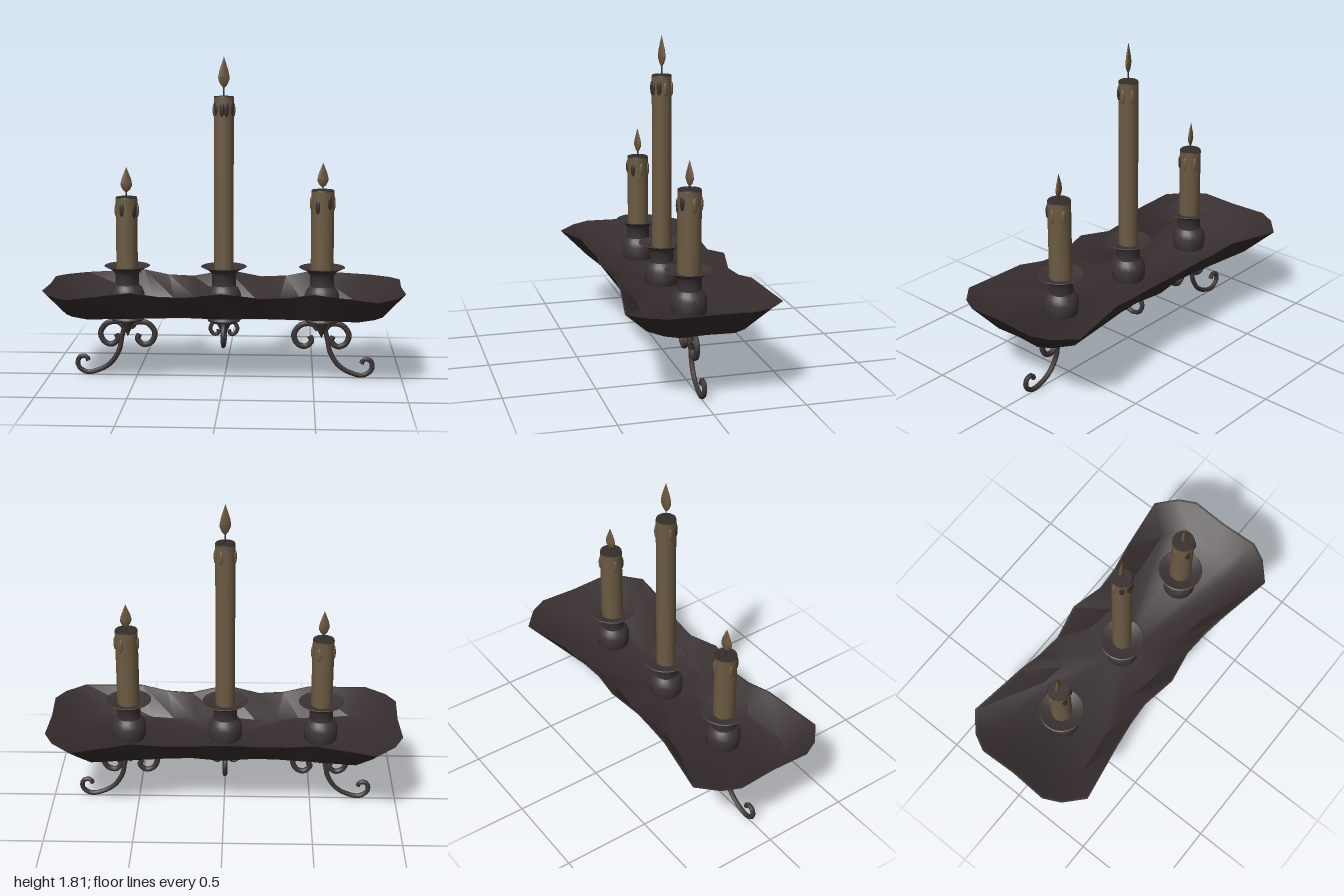
import * as THREE from 'three';
import { toCreasedNormals } from 'three/addons/utils/BufferGeometryUtils.js';

const paint = (name, color, side = THREE.FrontSide) => {
  const m = new THREE.MeshStandardMaterial({ color, side });
  m.name = name;
  return m;
};

// Thin dish made of rings that follow a wavy rim outline
function trayGeometry() {
  const quarter = [[0.99, 0.53, 0], [1, 0.53, 0.22], [0.95, 0.525, 0.32], [0.84, 0.52, 0.42],
    [0.5, 0.55, 0.365], [0.35, 0.525, 0.34], [0.2, 0.52, 0.33], [0, 0.55, 0.37]];
  const half = [...quarter, ...quarter.slice(0, -1).reverse().map(([x, y, z]) => [-x, y, z])];
  const rim = [...half, ...half.slice(1, -1).reverse().map(([x, y, z]) => [x, y, -z])];
  const flat = (sx, sz, h) => rim.map(([x, , z]) => [x * sx, h, z * sz]);
  const rings = [
    flat(0.03, 0.03, 0.385), flat(0.88, 0.67, 0.385), rim,
    rim.map(([x, y, z]) => [x * 0.985, y, z * 0.97]),
    flat(0.87, 0.66, 0.4), flat(0.03, 0.03, 0.4),
  ];
  const n = rim.length, index = [];
  for (let r = 0; r < rings.length - 1; r++) {
    for (let i = 0; i < n; i++) {
      const a = r * n + i, b = r * n + (i + 1) % n;
      index.push(a, a + n, b + n, a, b + n, b);
    }
  }
  const g = new THREE.BufferGeometry();
  g.setAttribute('position', new THREE.Float32BufferAttribute(rings.flat(2), 3));
  g.setIndex(index);
  return toCreasedNormals(g, 0.9);
}

const lathe = (pts, segments = 20) => toCreasedNormals(
  new THREE.LatheGeometry(pts.map(([x, y]) => new THREE.Vector2(x, y)), segments), 0.7);

// Wrought scroll through [across, height] points
function scroll(pts, radius) {
  const curve = new THREE.CatmullRomCurve3(pts.map(([x, y]) => new THREE.Vector3(x, y, 0)));
  return new THREE.TubeGeometry(curve, 36, radius, 8);
}

export function createModel() {
  const model = new THREE.Group();
  model.name = 'candleCentrepiece';
  const trayIron = paint('trayIron', 0x362d2d);
  const iron = paint('iron', 0x3d3434, THREE.DoubleSide);
  const wax = paint('wax', 0x6b5a42);
  const flameGold = paint('flame', 0x6b573c);
  const dark = paint('darkWax', 0x352e2b);

  const add = (parent, name, geometry, material, x = 0, y = 0, z = 0) => {
    const mesh = new THREE.Mesh(geometry, material);
    mesh.name = name;
    mesh.position.set(x, y, z);
    parent.add(mesh);
    return mesh;
  };

  add(model, 'tray', trayGeometry(), trayIron);

  // Holder: base drop, collar, body, neck and flared drip pan
  const holder = lathe([[0.001, 0.23], [0.02, 0.27], [0.045, 0.315], [0.09, 0.325], [0.095, 0.335],
    [0.078, 0.355], [0.08, 0.385], [0.094, 0.41], [0.097, 0.48], [0.085, 0.51], [0.067, 0.53],
    [0.067, 0.59], [0.085, 0.615], [0.13, 0.637], [0.125, 0.64], [0.08, 0.625], [0.055, 0.62]]);
  const flame = lathe([[0.001, 0], [0.6, 0.12], [0.95, 0.27], [1, 0.36], [0.8, 0.55],
    [0.4, 0.78], [0.001, 1]], 12);

  const sideCurl = scroll([[0.02, 0.28], [0.05, 0.31], [0.115, 0.305], [0.155, 0.25],
    [0.135, 0.197], [0.09, 0.182], [0.055, 0.215], [0.065, 0.24]], 0.016);
  const smallCurl = scroll([[0.015, 0.28], [0.03, 0.31], [0.06, 0.313], [0.077, 0.28],
    [0.06, 0.25], [0.035, 0.25], [0.03, 0.272]], 0.011);
  const deepCurl = scroll([[0.015, 0.3], [0.045, 0.316], [0.085, 0.3], [0.106, 0.25],
    [0.085, 0.205], [0.04, 0.188], [0.005, 0.195]], 0.013);
  const legScroll = scroll([[0.015, 0.3], [0.035, 0.22], [0.05, 0.15], [0.095, 0.077],
    [0.16, 0.034], [0.24, 0.018], [0.287, 0.055], [0.278, 0.104], [0.24, 0.108], [0.228, 0.085]], 0.014);

  // x, candle radius, candle top, flame base, flame tip, front drips [angle, drop]
  const candles = [
    [-0.553, 0.061, 1.022, 1.05, 1.197, [[-0.35, 0.06], [0.85, 0.07]]],
    [-0.005, 0.055, 1.587, 1.635, 1.812, [[-0.9, 0.06], [-0.15, 0.065], [0.3, 0.065], [1.05, 0.06]]],
    [0.547, 0.064, 1.068, 1.085, 1.228, [[-0.45, 0.085], [0.65, 0.06]]],
  ];

  for (const [x, r, top, low, tip, drips] of candles) {
    const unit = new THREE.Group();
    unit.name = 'candleUnit';
    unit.position.x = x;
    model.add(unit);
    add(unit, 'holder', holder, iron);

    // Candle with dark melted top and wick
    const h = top - 0.55;
    add(unit, 'candle', new THREE.CylinderGeometry(r, r, h, 20), wax, 0, 0.55 + h / 2);
    add(unit, 'candleTop', new THREE.CylinderGeometry(r * 0.97, r, 0.006, 20), dark, 0, top + 0.003);
    add(unit, 'wick', new THREE.CylinderGeometry(0.004, 0.004, low - top + 0.03, 6), dark,
      0, (low + top) / 2 + 0.01);
    const f = add(unit, 'flame', flame, flameGold, 0, low);
    f.scale.set(0.033, tip - low, 0.012);
    f.rotation.y = 0.35;

    // Wax drips below the lip
    const drip = (angle, drop, material) => {
      const d = add(unit, 'drip', new THREE.SphereGeometry(1, 12, 8), material,
        Math.sin(angle) * r, top - drop, Math.cos(angle) * r);
      d.scale.set(0.014, 0.04, 0.009);
      d.rotation.y = angle;
    };
    drips.forEach(([a, d]) => drip(a, d, dark));
    [1.7, -1.75, 2.7].forEach((a) => drip(a, 0.07, wax));

    // Scrolls under the holder
    const outer = Math.abs(x) > 0.1;
    for (const turn of [0, Math.PI]) {
      add(unit, 'curl', outer ? sideCurl : smallCurl, iron).rotation.y = turn;
      if (!outer) add(unit, 'deepCurl', deepCurl, iron).rotation.y = turn + Math.PI / 2;
    }
    if (outer) add(unit, 'leg', legScroll, iron).rotation.y = x < 0 ? Math.PI : 0;
  }
  return model;
}
